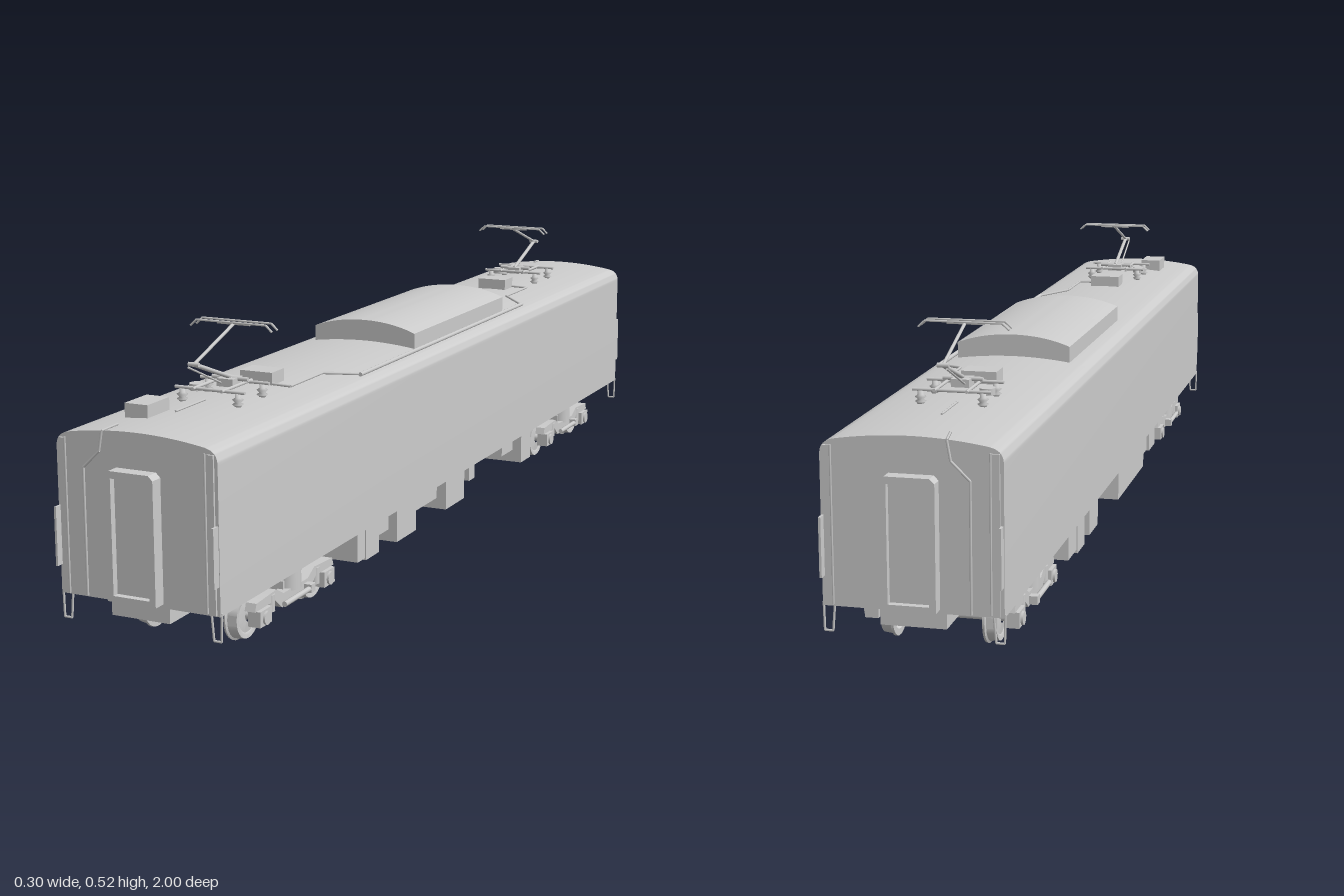
import * as THREE from 'three';
import { toCreasedNormals } from 'three/addons/utils/BufferGeometryUtils.js';

const mat = new THREE.MeshStandardMaterial({ color: 0xcccccc });

function add(parent, name, geo) {
  const m = new THREE.Mesh(geo, mat);
  m.name = name;
  parent.add(m);
  return m;
}

// Box given by its limits on each axis
function box(parent, name, x0, x1, y0, y1, z0, z1) {
  const m = add(parent, name, new THREE.BoxGeometry(x1 - x0, y1 - y0, z1 - z0));
  m.position.set((x0 + x1) / 2, (y0 + y1) / 2, (z0 + z1) / 2);
  return m;
}

// Round rod between two points
function rod(parent, name, a, b, r, sides = 8) {
  const p = new THREE.Vector3(...a), q = new THREE.Vector3(...b);
  const m = add(parent, name, new THREE.CylinderGeometry(r, r, p.distanceTo(q), sides));
  m.position.copy(p).add(q).multiplyScalar(0.5);
  m.quaternion.setFromUnitVectors(new THREE.Vector3(0, 1, 0), q.sub(p).normalize());
  return m;
}

function pipe(parent, name, pts, r) {
  const g = new THREE.Group();
  g.name = name;
  for (let i = 1; i < pts.length; i++) rod(g, name + 'Segment', pts[i - 1], pts[i], r, 6);
  parent.add(g);
}

function extrude(shape, z0, z1, crease = 0.6) {
  const g = new THREE.ExtrudeGeometry(shape, { depth: z1 - z0, bevelEnabled: false, curveSegments: 12 });
  g.translate(0, 0, z0);
  return toCreasedNormals(g, crease);
}

// Shell with vertical sides and an arched roof
function buildBody(root) {
  const s = new THREE.Shape();
  s.moveTo(-0.15, 0.105);
  s.lineTo(0.15, 0.105);
  s.lineTo(0.15, 0.353);
  s.bezierCurveTo(0.15, 0.37, 0.142, 0.378, 0.122, 0.381);
  s.quadraticCurveTo(0.06, 0.391, 0, 0.391);
  s.quadraticCurveTo(-0.06, 0.391, -0.122, 0.381);
  s.bezierCurveTo(-0.142, 0.378, -0.15, 0.37, -0.15, 0.353);
  add(root, 'carBody', extrude(s, -0.976, 0.976));

  // Arched roof unit
  const c = new THREE.Shape();
  c.moveTo(-0.108, 0.375);
  c.lineTo(0.108, 0.375);
  c.lineTo(0.108, 0.413);
  c.quadraticCurveTo(0.06, 0.432, 0, 0.432);
  c.quadraticCurveTo(-0.06, 0.432, -0.108, 0.413);
  add(root, 'roofUnit', extrude(c, -0.32, 0.14));
}

// Gangway, corner rails, steps and cable at one end (built at +z)
function buildEnd() {
  const g = new THREE.Group();
  const frame = new THREE.Shape();
  frame.moveTo(-0.045, 0.112).lineTo(0.045, 0.112).lineTo(0.045, 0.322);
  frame.lineTo(0.037, 0.33).lineTo(-0.037, 0.33).lineTo(-0.045, 0.322);
  const hole = new THREE.Path();
  hole.moveTo(-0.034, 0.122).lineTo(-0.034, 0.318).lineTo(0.034, 0.318).lineTo(0.034, 0.122);
  frame.holes.push(hole);
  add(g, 'gangwayFrame', extrude(frame, 0.974, 1.0));
  box(g, 'gangwayDoor', -0.035, 0.035, 0.12, 0.32, 0.974, 0.988);
  box(g, 'endUnderBox', -0.055, 0.055, 0.079, 0.107, 0.872, 0.974);
  for (const s of [-1, 1]) {
    box(g, 'cornerStrip', s * 0.138 - 0.006, s * 0.138 + 0.006, 0.107, 0.37, 0.974, 0.98);
    rod(g, 'cornerRail', [s * 0.13, 0.11, 0.982], [s * 0.13, 0.372, 0.982], 0.0018, 6);
    box(g, 'cornerHandle', s * 0.147 - 0.002, s * 0.147 + 0.002, 0.155, 0.255, 0.974, 0.992);
    pipe(g, 'stepStirrup', [[s * 0.15, 0.11, 0.972], [s * 0.149, 0.062, 0.972],
      [s * 0.135, 0.062, 0.972], [s * 0.131, 0.11, 0.972]], 0.002);
  }
  pipe(g, 'endCable', [[-0.055, 0.392, 0.94], [-0.06, 0.389, 0.98], [-0.066, 0.355, 0.98],
    [-0.097, 0.325, 0.98], [-0.097, 0.108, 0.98]], 0.0022);
  return g;
}

// Single-arm current collector with insulators and roof boxes (built at +z)
function buildCollector() {
  const g = new THREE.Group();
  const bell = [[0, 0], [0.006, 0], [0.006, 0.004], [0.01, 0.007], [0.005, 0.01],
    [0.01, 0.015], [0.005, 0.018], [0.005, 0.025], [0, 0.025]].map(p => new THREE.Vector2(...p));
  for (const z of [0.655, 0.74]) {
    for (const x of [-0.054, 0.054]) {
      add(g, 'insulator', new THREE.LatheGeometry(bell, 10)).position.set(x, 0.386, z);
    }
    rod(g, 'baseCrossBar', [-0.068, 0.413, z], [0.068, 0.413, z], 0.003);
  }
  for (const x of [-0.028, 0.028]) rod(g, 'baseSideBar', [x, 0.414, 0.645], [x, 0.414, 0.75], 0.003);
  box(g, 'baseBlock', -0.016, 0.016, 0.408, 0.422, 0.655, 0.69);
  rod(g, 'baseShaft', [-0.035, 0.42, 0.67], [0.035, 0.42, 0.67], 0.004);
  const drum = add(g, 'airDrum', new THREE.CylinderGeometry(0.014, 0.014, 0.012, 12));
  drum.position.set(-0.05, 0.406, 0.697);
  rod(g, 'lowerArm', [0, 0.42, 0.665], [0, 0.466, 0.79], 0.004);
  rod(g, 'controlRod', [-0.008, 0.415, 0.69], [-0.008, 0.461, 0.795], 0.0018);
  rod(g, 'upperArm', [0, 0.466, 0.79], [0, 0.512, 0.655], 0.003);
  rod(g, 'kneeShaft', [-0.01, 0.466, 0.79], [0.01, 0.466, 0.79], 0.004);
  rod(g, 'headShaft', [-0.032, 0.512, 0.655], [0.032, 0.512, 0.655], 0.002);
  for (const z of [0.645, 0.665]) {
    pipe(g, 'contactStrip', [[-0.08, 0.505, z], [-0.068, 0.516, z], [0.068, 0.516, z], [0.08, 0.505, z]], 0.002);
  }
  rod(g, 'leadCable', [-0.01, 0.395, 0.74], [-0.01, 0.395, 0.835], 0.002, 6);
  box(g, 'roofBox', -0.034, 0.03, 0.385, 0.413, 0.53, 0.576);
  pipe(g, 'roofCable', [[0.03, 0.393, 0.574], [0.066, 0.392, 0.574], [0.066, 0.392, 0.45], [0.12, 0.385, 0.4]], 0.0025);
  return g;
}

// Four-wheel bogie centred on its own origin
function buildBogie() {
  const g = new THREE.Group();
  const tyre = [[0.012, -0.011], [0.032, -0.009], [0.036, -0.011], [0.043, -0.011], [0.045, 0.006],
    [0.049, 0.008], [0.048, 0.012], [0.036, 0.012], [0.032, 0.006], [0.012, 0.01]]
    .map(p => new THREE.Vector2(p[0] * 0.94, p[1]));
  for (const z of [-0.118, 0.118]) {
    rod(g, 'axle', [-0.125, 0.046, z], [0.125, 0.046, z], 0.008, 12);
    for (const s of [-1, 1]) {
      const w = add(g, 'wheel', toCreasedNormals(new THREE.LatheGeometry(tyre, 28), 0.5));
      w.rotation.z = s * Math.PI / 2;
      w.position.set(s * 0.089, 0.046, z);
      const x = s * 0.122;
      box(g, 'axleBox', x - 0.012, x + 0.012, 0.033, 0.061, z - 0.02, z + 0.02);
      rod(g, 'axleCap', [x, 0.046, z], [s * 0.138, 0.046, z], 0.012, 12);
      const inner = z * 0.7;
      rod(g, 'axleSpring', [x, 0.045, inner], [x, 0.075, inner], 0.009, 10);
    }
    box(g, 'tractionMotor', -0.055, 0.055, 0.03, 0.066, z * 0.52 - 0.033, z * 0.52 + 0.033);
  }
  for (const s of [-1, 1]) {
    const side = new THREE.Shape();
    side.moveTo(-0.145, 0.062).lineTo(-0.075, 0.062).lineTo(-0.05, 0.042).lineTo(0.05, 0.042);
    side.lineTo(0.075, 0.062).lineTo(0.145, 0.062).lineTo(0.14, 0.076).lineTo(0.07, 0.08);
    side.lineTo(0.045, 0.066).lineTo(-0.045, 0.066).lineTo(-0.07, 0.08).lineTo(-0.14, 0.076);
    const f = add(g, 'sideFrame', extrude(side, -0.01, 0.01));
    f.rotation.y = Math.PI / 2;
    f.position.x = s * 0.118;
    rod(g, 'airSpring', [s * 0.112, 0.062, 0], [s * 0.112, 0.108, 0], 0.024, 16);
    rod(g, 'damper', [s * 0.138, 0.052, -0.04], [s * 0.138, 0.052, 0.06], 0.005);
    box(g, 'damperBracket', s * 0.131 - 0.012, s * 0.131 + 0.012, 0.045, 0.06, -0.046, -0.03);
  }
  box(g, 'transom', -0.118, 0.118, 0.052, 0.08, -0.028, 0.028);
  box(g, 'centrePlate', -0.06, 0.06, 0.026, 0.04, -0.085, 0.085);
  rod(g, 'centrePivot', [0, 0.06, 0], [0, 0.108, 0], 0.02, 14);
  return g;
}

// Equipment hung below the floor: x0, x1, y0, z0, z1
function buildEquipment(root) {
  const boxes = [
    [0.06, 0.14, 0.045, 0.43, 0.46], [0.06, 0.14, 0.04, 0.37, 0.425],
    [0.05, 0.125, 0.062, 0.295, 0.355], [0.06, 0.14, 0.037, 0.2, 0.29],
    [0.05, 0.12, 0.062, 0.055, 0.2], [0.06, 0.14, 0.04, -0.04, 0.055],
    [0.06, 0.125, 0.09, -0.11, -0.04], [0.07, 0.105, 0.045, -0.18, -0.15],
    [0.05, 0.135, 0.035, -0.43, -0.375], [0.05, 0.115, 0.062, -0.375, -0.31],
    [-0.135, -0.08, 0.045, 0.385, 0.455], [-0.14, -0.06, 0.035, 0.0, 0.285],
    [-0.135, -0.075, 0.055, 0.295, 0.35], [-0.125, -0.05, 0.02, -0.215, -0.135],
    [-0.135, -0.05, 0.03, -0.37, -0.31], [-0.135, -0.065, 0.04, -0.45, -0.38],
  ];
  for (const [x0, x1, y0, z0, z1] of boxes) box(root, 'underfloorBox', x0, x1, y0, 0.107, z0, z1);
}

export function createModel() {
  const root = new THREE.Group();
  root.name = 'railcar';
  buildBody(root);
  buildEquipment(root);

  for (const s of [1, -1]) {
    // Mirror the asymmetric end fittings front to back
    for (const [name, part] of [['carEnd', buildEnd()], ['currentCollector', buildCollector()]]) {
      part.name = name;
      part.scale.z = s;
      root.add(part);
    }
    const bogie = buildBogie();
    bogie.name = 'bogie';
    bogie.position.z = s * 0.68;
    root.add(bogie);
  }

  // Roof fittings outside the mirrored sets
  box(root, 'frontRoofBox', -0.08, -0.036, 0.383, 0.412, 0.812, 0.88);
  rod(root, 'roofConduit', [0.12, 0.385, -0.405], [0.12, 0.385, 0.405], 0.004);
  return root;
}
